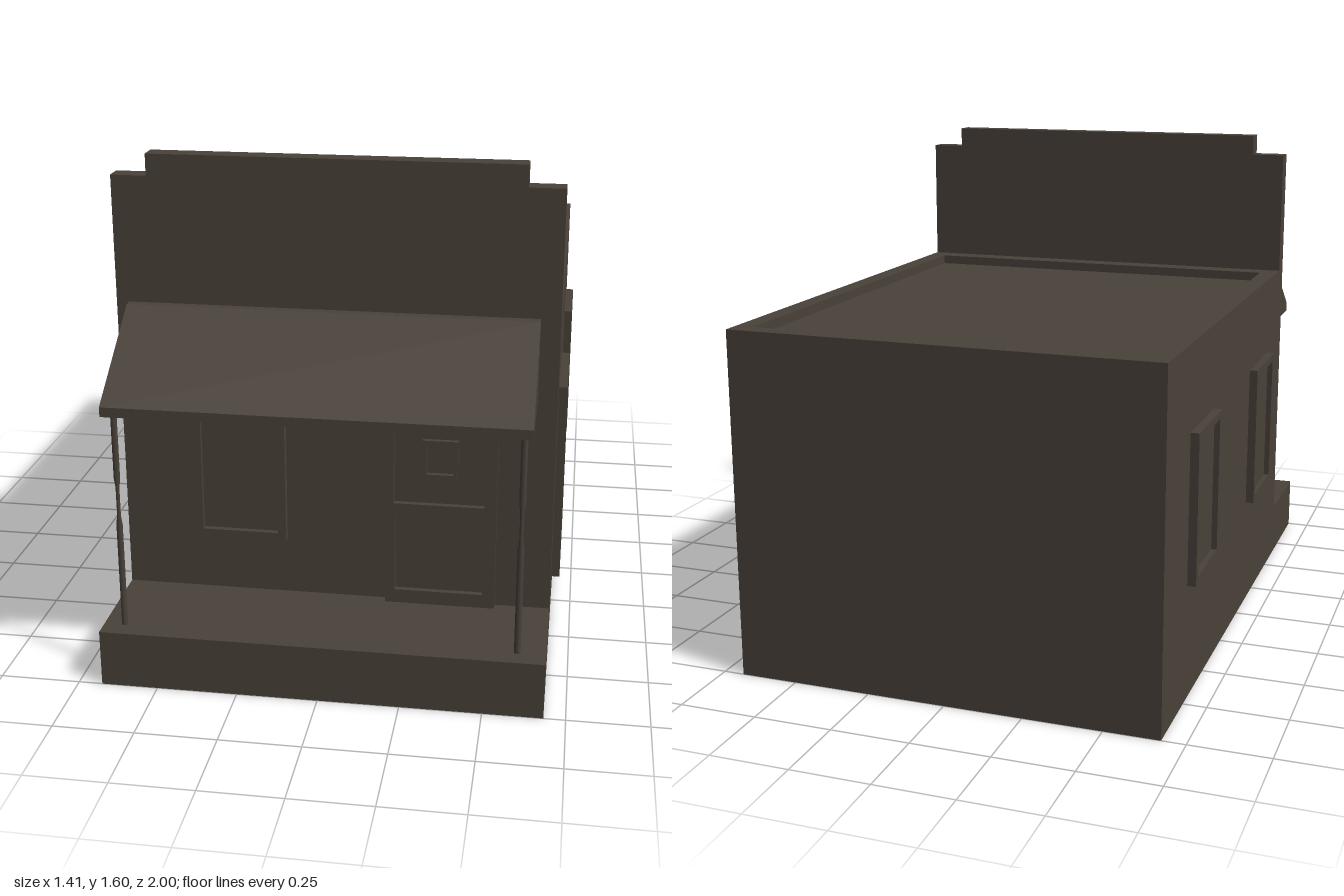
import * as THREE from 'three';

export function createModel() {
  const model = new THREE.Group();
  model.name = 'storefrontBuilding';
  const darkTimber = new THREE.MeshStandardMaterial({ color: 0x4a423a });
  darkTimber.name = 'darkTimber';
  const CX = 0.004; // centre line of the building

  function add(parent, name, geometry, x = 0, y = 0, z = 0) {
    const mesh = new THREE.Mesh(geometry, darkTimber);
    mesh.name = name;
    mesh.position.set(x, y, z);
    parent.add(mesh);
    return mesh;
  }
  // Box given by its limits on each axis
  function box(parent, name, x0, x1, y0, y1, z0, z1) {
    return add(parent, name, new THREE.BoxGeometry(x1 - x0, y1 - y0, z1 - z0),
      (x0 + x1) / 2, (y0 + y1) / 2, (z0 + z1) / 2);
  }
  const polygon = (pts) => new THREE.Shape(pts.map(([x, y]) => new THREE.Vector2(x, y)));
  const rect = (x0, x1, y0, y1) => polygon([[x0, y0], [x1, y0], [x1, y1], [x0, y1]]);
  // Flat plate with rectangular openings
  function plate(outer, openings, depth) {
    const shape = rect(...outer);
    openings.forEach((o) => shape.holes.push(rect(...o)));
    return new THREE.ExtrudeGeometry(shape, { depth, bevelEnabled: false });
  }

  // Base with porch, and main body
  box(model, 'base', CX - 0.68, CX + 0.68, 0, 0.18, -1, 1);
  box(model, 'walls', CX - 0.68, CX + 0.68, 0.18, 1.08, -1, 0.65);

  // Low parapet around the sunken roof
  const parapet = plate([-0.68, 0.68, -0.65, 1], [[-0.622, 0.622, -0.52, 0.942]], 0.03);
  parapet.rotateX(-Math.PI / 2);
  add(model, 'parapet', parapet, CX, 1.08, 0);

  // Stepped false front
  const front = polygon([[-0.68, 1.11], [0.68, 1.11], [0.68, 1.53], [0.57, 1.53],
    [0.57, 1.597], [-0.57, 1.597], [-0.57, 1.53], [-0.68, 1.53]]);
  add(model, 'falseFront',
    new THREE.ExtrudeGeometry(front, { depth: 0.063, bevelEnabled: false }), CX, 0, 0.587);

  // Wedge-shaped porch awning, drawn in side profile and extruded across
  const awning = new THREE.ExtrudeGeometry(
    polygon([[-0.65, 0.885], [-0.65, 1.135], [-0.68, 1.135], [-0.993, 0.915], [-0.993, 0.885]]),
    { depth: 1.26, bevelEnabled: false });
  awning.rotateY(Math.PI / 2);
  add(model, 'awning', awning, -0.636, 0, 0);

  // Slender porch posts with a slight waist
  const postProfile = [[0.01, 0], [0.01, 0.34], [0.006, 0.37], [0.006, 0.46], [0.01, 0.49], [0.01, 0.71]]
    .map(([r, y]) => new THREE.Vector2(r, y));
  for (const x of [-0.612, 0.598]) {
    add(model, 'porchPost', new THREE.LatheGeometry(postProfile, 8), x, 0.178, 0.938);
  }

  // Window: raised frame around a recessed pane, facing +z, about its own centre line
  function makeWindow() {
    const g = new THREE.Group();
    g.name = 'window';
    add(g, 'windowFrame', plate([-0.147, 0.147, 0.37, 0.843], [[-0.121, 0.121, 0.395, 0.818]], 0.027));
    box(g, 'windowPane', -0.121, 0.121, 0.395, 0.818, 0, 0.009);
    return g;
  }
  // Door: two recessed panels, with a small framed window in the upper one
  function makeDoor() {
    const g = new THREE.Group();
    g.name = 'door';
    const panels = [[-0.148, 0.135, 0.523, 0.806], [-0.143, 0.135, 0.225, 0.48]];
    add(g, 'doorFrame', plate([-0.173, 0.173, 0.18, 0.843], panels, 0.027));
    panels.forEach((p) => box(g, 'doorPanel', ...p, 0, 0.009));
    add(g, 'doorWindowFrame',
      plate([-0.06, 0.05, 0.612, 0.737], [[-0.046, 0.037, 0.625, 0.72]], 0.015), 0, 0, 0.009);
    return g;
  }
  function place(part, x, z, turn) {
    part.position.set(x, 0, z);
    part.rotation.y = turn;
    model.add(part);
  }
  const quarter = Math.PI / 2;
  const left = CX + 0.68, right = CX - 0.68;
  place(makeWindow(), -0.3, 0.65, 0);
  place(makeDoor(), 0.338, 0.65, 0);
  place(makeDoor(), left, 0.253, quarter);
  place(makeWindow(), left, -0.548, quarter);
  place(makeWindow(), right, 0.253, -quarter);
  place(makeWindow(), right, -0.58, -quarter);

  return model;
}
